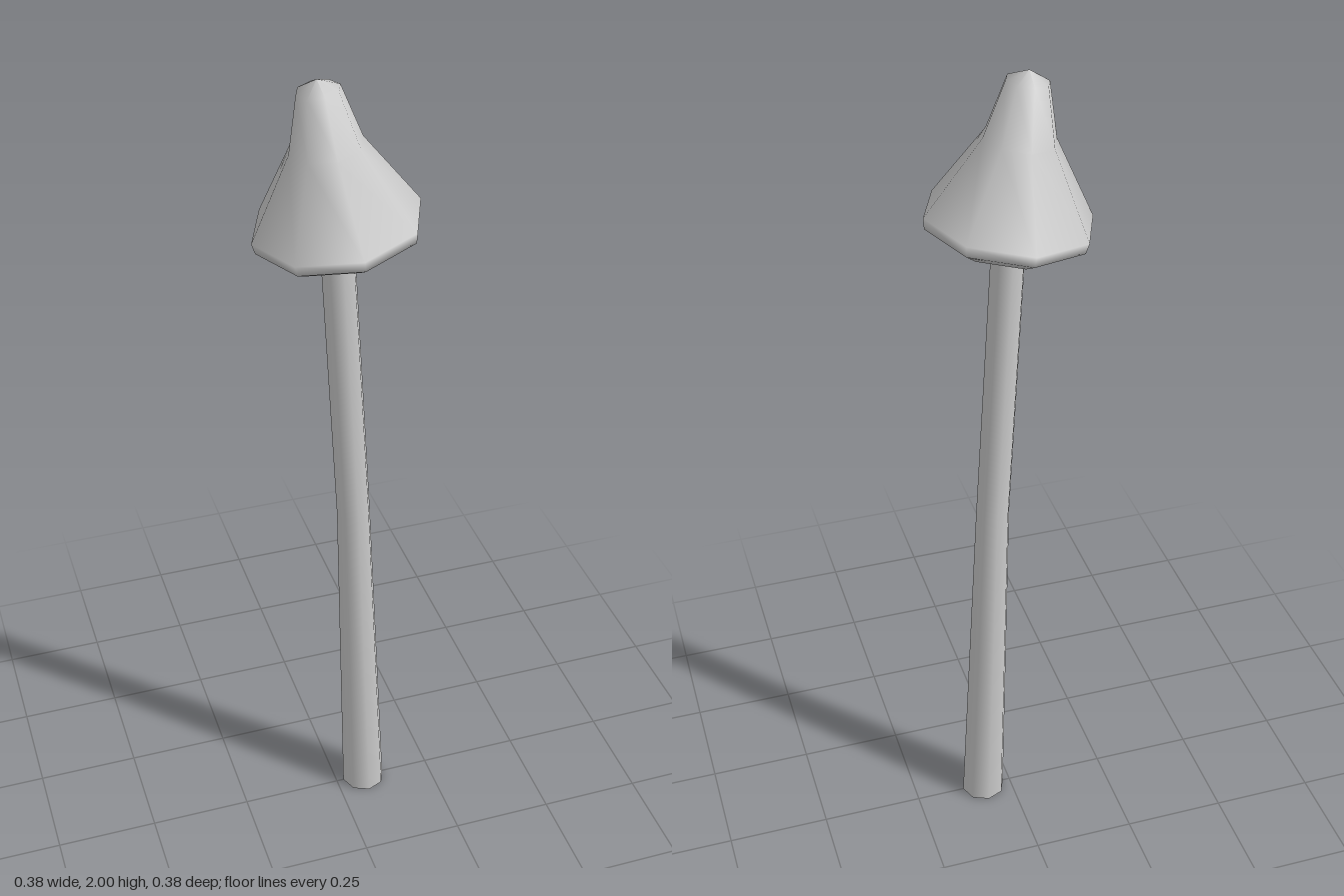
import * as THREE from 'three';

const SIDES = 8;

// Stem: lathe tube whose rings are shifted sideways to follow a gentle bend
function createStem(material) {
  // [height, radius, x offset]
  const rings = [[0, 0.055, 0.073], [0.9, 0.041, 0.041], [1.72, 0.039, -0.005]];
  const geometry = new THREE.LatheGeometry(rings.map(([y, r]) => new THREE.Vector2(r, y)), SIDES);
  const pos = geometry.attributes.position;
  for (let i = 0; i < pos.count; i++) {
    pos.setX(i, pos.getX(i) + rings[i % rings.length][2]);
  }
  geometry.computeBoundingSphere();
  const stem = new THREE.Mesh(geometry, material);
  stem.name = 'stem';
  return stem;
}

// Cap: bell profile with a rounded rim and a hollowed underside, tilted to one side
function createCap(material) {
  const profile = [
    [0, 0.04], [0.06, 0.03], [0.139, -0.048], [0.186, -0.02], [0.191, 0.005],
    [0.082, 0.184], [0.048, 0.31], [0, 0.333],
  ].map(([r, y]) => new THREE.Vector2(r, y));
  const cap = new THREE.Mesh(new THREE.LatheGeometry(profile, SIDES), material);
  cap.name = 'cap';
  cap.position.y = 1.67;
  cap.rotation.z = 0.13;
  return cap;
}

export function createModel() {
  const material = new THREE.MeshStandardMaterial({ color: 0xcccccc, side: THREE.DoubleSide });
  const mushroom = new THREE.Group();
  mushroom.name = 'mushroom';
  mushroom.add(createStem(material), createCap(material));
  return mushroom;
}
